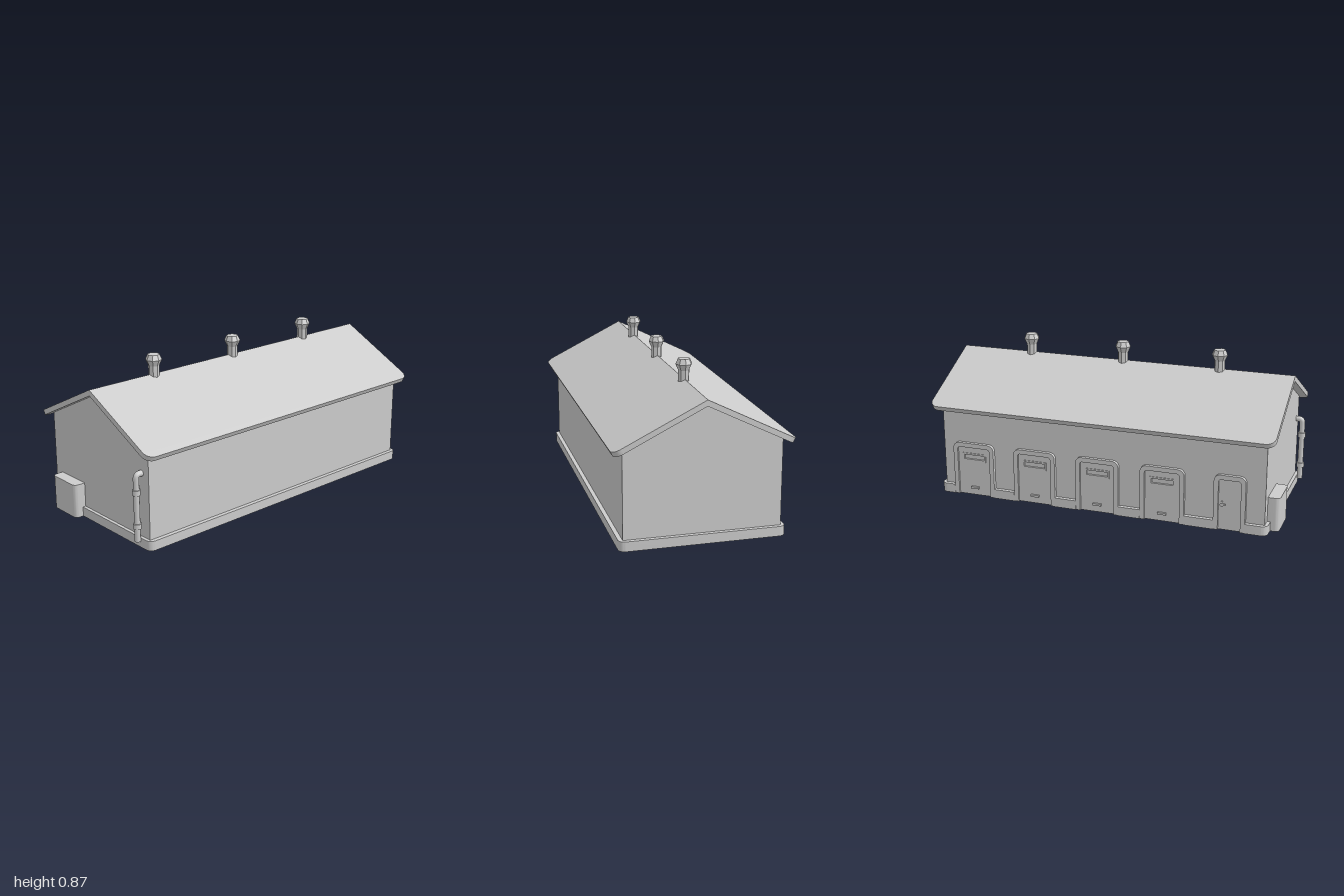
import * as THREE from 'three';
import { toCreasedNormals } from 'three/addons/utils/BufferGeometryUtils.js';

const CX = 0.007; // middle of the building along x
const WALL = 0.417; // half depth of the walls
const grey = new THREE.MeshStandardMaterial({ color: 0xcccccc });
const faceted = new THREE.MeshStandardMaterial({ color: 0xcccccc, flatShading: true });

function add(parent, name, geometry, x = 0, y = 0, z = 0, material = grey) {
  const mesh = new THREE.Mesh(geometry, material);
  mesh.name = name;
  mesh.position.set(x, y, z);
  parent.add(mesh);
  return mesh;
}

const extrude = (shape, depth) => toCreasedNormals(
  new THREE.ExtrudeGeometry(shape, { depth, bevelEnabled: false, curveSegments: 4 }), 0.6);

// Upright panel with only its upper corners rounded
function archPath(w, h, r, path = new THREE.Shape()) {
  path.moveTo(-w / 2, 0);
  path.lineTo(w / 2, 0);
  path.lineTo(w / 2, h - r);
  path.absarc(w / 2 - r, h - r, r, 0, Math.PI / 2);
  path.absarc(-w / 2 + r, h - r, r, Math.PI / 2, Math.PI);
  path.closePath();
  return path;
}

function rectHole(x0, y0, x1, y1) {
  return new THREE.Path([[x0, y0], [x0, y1], [x1, y1], [x1, y0]].map(p => new THREE.Vector2(...p)));
}

const doors = [0.755, 0.38, 0.005, -0.37].map(x => ({ x, w: 0.25, stall: true }));
doors.push({ x: -0.745, w: 0.175, stall: false });

// Footing with rounded corners, notched at each doorway
function footing() {
  const hx = 0.96, hz = 0.44, r = 0.035, s = new THREE.Shape();
  s.absarc(hx - r, -hz + r, r, -Math.PI / 2, 0);
  s.absarc(hx - r, hz - r, r, 0, Math.PI / 2);
  s.absarc(-hx + r, hz - r, r, Math.PI / 2, Math.PI);
  s.absarc(-hx + r, -hz + r, r, Math.PI, Math.PI * 1.5);
  // shape y becomes z, running along the back from -x to +x
  for (const { x, w } of [...doors].reverse()) {
    const a = x - CX - w / 2, b = a + w;
    s.lineTo(a, -hz);
    s.lineTo(a, -WALL);
    s.lineTo(b, -WALL);
    s.lineTo(b, -hz);
  }
  s.closePath();
  return extrude(s, 0.053).rotateX(Math.PI / 2).translate(0, 0.053, 0);
}

// One roof slope, rounded at the eave corners
function roofSlope() {
  const hx = 0.991, len = 0.534, r = 0.05, s = new THREE.Shape();
  s.moveTo(-hx, 0);
  s.lineTo(hx, 0);
  s.absarc(hx - r, len - r, r, 0, Math.PI / 2);
  s.absarc(-hx + r, len - r, r, Math.PI / 2, Math.PI);
  s.closePath();
  const a = Math.atan(0.498), c = Math.cos(a), n = Math.sin(a);
  const m = new THREE.Matrix4().makeBasis(
    new THREE.Vector3(1, 0, 0), new THREE.Vector3(0, -n, c), new THREE.Vector3(0, -c, -n));
  return extrude(s, 0.029).applyMatrix4(m);
}

// Doorway on the back wall; local +z points outward
function doorway({ x, w, stall }) {
  const g = new THREE.Group();
  g.name = stall ? 'wideDoor' : 'narrowDoor';
  g.position.set(x, 0, -WALL);
  g.rotation.y = Math.PI;

  const band = 0.026, inner = w - 2 * band;
  const frame = new THREE.Shape();
  const o = w / 2, i = inner / 2, H = 0.313, h = H - band, R = 0.035, r = 0.015;
  frame.moveTo(i, 0);
  frame.lineTo(o, 0);
  frame.absarc(o - R, H - R, R, 0, Math.PI / 2);
  frame.absarc(-o + R, H - R, R, Math.PI / 2, Math.PI);
  frame.lineTo(-o, 0);
  frame.lineTo(-i, 0);
  frame.absarc(-i + r, h - r, r, Math.PI, Math.PI / 2, true);
  frame.absarc(i - r, h - r, r, Math.PI / 2, 0, true);
  frame.closePath();
  add(g, 'doorFrame', extrude(frame, 0.02));

  const panel = archPath(inner, h, r);
  if (stall) panel.holes.push(rectHole(-0.065, 0.212, 0.065, 0.244));
  add(g, 'doorPanel', extrude(panel, 0.008));

  if (stall) {
    // raised surround of the window slot and low handle
    const rim = new THREE.Shape([[-0.072, 0.205], [0.072, 0.205], [0.072, 0.251], [-0.072, 0.251]]
      .map(p => new THREE.Vector2(...p)));
    rim.holes.push(rectHole(-0.062, 0.215, 0.062, 0.241));
    add(g, 'windowRim', extrude(rim, 0.012));
    add(g, 'handle', new THREE.BoxGeometry(0.048, 0.012, 0.016), 0, 0.045, 0.012);
  } else {
    const hx = -0.04;
    add(g, 'lockPlate', new THREE.BoxGeometry(0.014, 0.045, 0.006), hx, 0.14, 0.01);
    add(g, 'knob', new THREE.CylinderGeometry(0.011, 0.008, 0.012, 12).rotateX(Math.PI / 2), hx, 0.147, 0.018);
    add(g, 'latch', new THREE.BoxGeometry(0.026, 0.008, 0.008), hx + 0.006, 0.147, 0.016);
  }
  return g;
}

export function createModel() {
  const model = new THREE.Group();
  model.name = 'stableBlock';

  // Gabled walls
  const gable = new THREE.Shape([[-WALL, 0], [WALL, 0], [WALL, 0.53], [0, 0.738], [-WALL, 0.53]]
    .map(p => new THREE.Vector2(...p)));
  add(model, 'walls', extrude(gable, 1.88).rotateY(Math.PI / 2), CX - 0.942, 0, 0);
  add(model, 'footing', footing(), CX, 0, 0);

  // Roof
  for (const turn of [0, Math.PI]) {
    add(model, turn ? 'backRoof' : 'frontRoof', roofSlope(), CX + 0.002, 0.765, 0).rotation.y = turn;
  }

  // Ridge vents
  const vent = [[0, 0.74], [0.03, 0.74], [0.03, 0.812], [0.045, 0.845], [0.033, 0.873], [0, 0.873]]
    .map(p => new THREE.Vector2(...p));
  for (const x of [-0.56, 0.005, 0.57]) {
    add(model, 'ridgeVent', new THREE.LatheGeometry(vent, 8), x, 0, 0, faceted);
  }

  for (const d of doors) model.add(doorway(d));

  // Drainpipe with collars on the -x end
  const px = -0.971, pz = 0.36;
  const path = new THREE.CurvePath();
  const v = (x, y) => new THREE.Vector3(x, y, pz);
  path.add(new THREE.LineCurve3(v(-0.92, 0.405), v(px + 0.02, 0.405)));
  path.add(new THREE.QuadraticBezierCurve3(v(px + 0.02, 0.405), v(px, 0.405), v(px, 0.385)));
  path.add(new THREE.LineCurve3(v(px, 0.385), v(px, 0.05)));
  add(model, 'drainpipe', new THREE.TubeGeometry(path, 60, 0.016, 12));
  add(model, 'pipeEnd', new THREE.CylinderGeometry(0.016, 0.016, 0.02, 12), px, 0.05, pz);
  for (const y of [0.125, 0.31]) {
    add(model, 'pipeCollar', new THREE.CylinderGeometry(0.022, 0.022, 0.028, 12), px, y, pz);
  }

  // Rounded storage box against the -x end
  const box = new THREE.Shape(), r = 0.025, x0 = -1, x1 = -0.92, z0 = -0.36, z1 = -0.15;
  box.moveTo(x1, z0);
  box.lineTo(x1, z1);
  box.absarc(x0 + r, z1 - r, r, Math.PI / 2, Math.PI);
  box.absarc(x0 + r, z0 + r, r, Math.PI, Math.PI * 1.5);
  box.closePath();
  add(model, 'storageBox', extrude(box, 0.19).rotateX(Math.PI / 2), 0, 0.19, 0);

  return model;
}
